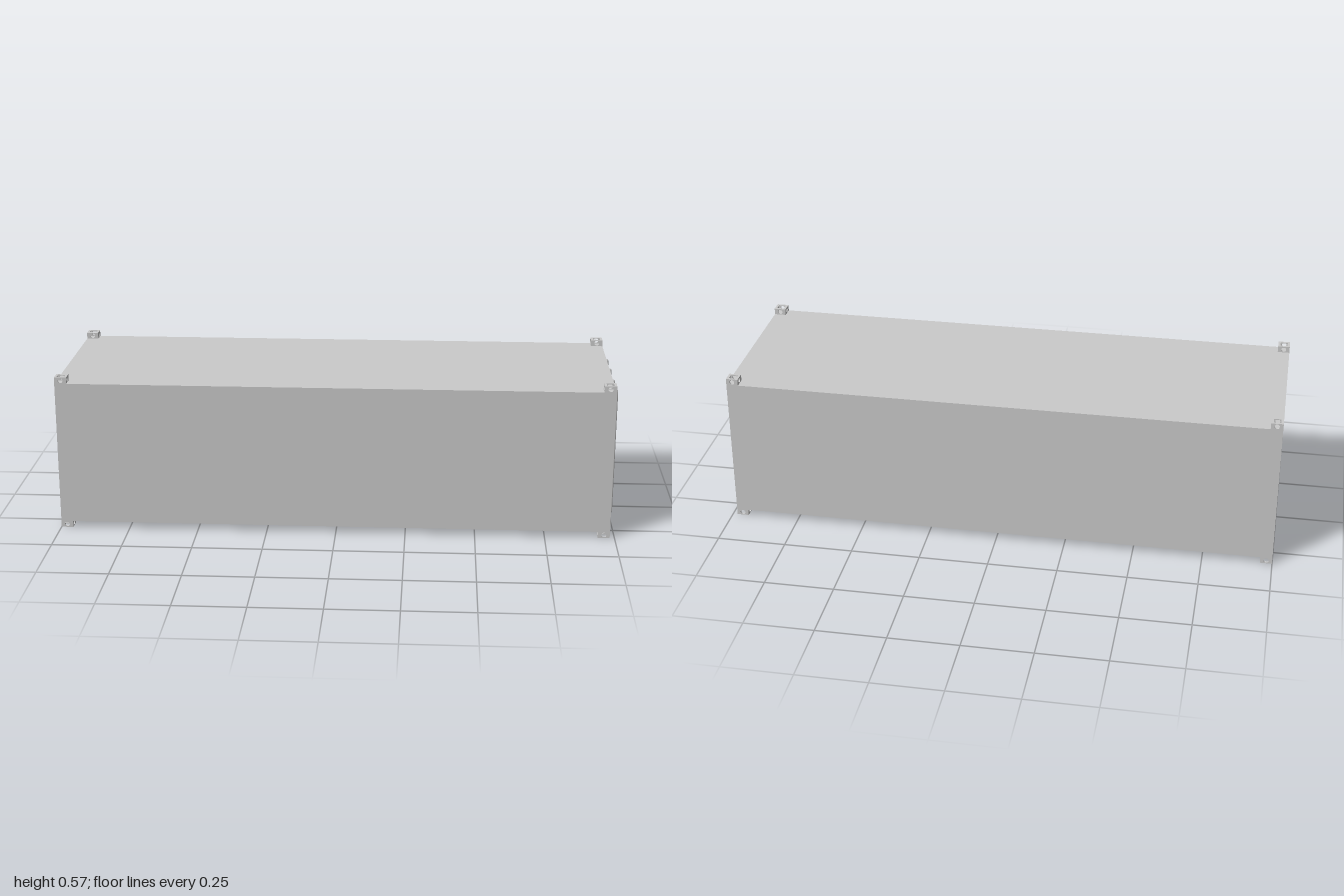
import * as THREE from 'three';

const mat = new THREE.MeshStandardMaterial({ color: 0xcccccc });
const X0 = -1, X1 = 0.983, Y0 = 0.023, Y1 = 0.544, HZ = 0.325; // outer shell
const PANEL_X = 0.975;                                        // recessed door face
const CAST = 0.043, CAST_H = 0.023;                           // corner fitting size

function mesh(name, geometry, parent) {
  const m = new THREE.Mesh(geometry, mat);
  m.name = name;
  parent.add(m);
  return m;
}

function rect(w, h, Type = THREE.Shape) {
  return new Type([[-w, -h], [w, -h], [w, h], [-w, h]].map(([x, y]) => new THREE.Vector2(x / 2, y / 2)));
}

function plate(shape, hole, depth) {
  shape.holes.push(hole);
  return new THREE.ExtrudeGeometry(shape, { depth, bevelEnabled: false, curveSegments: 16 });
}

// Hollow fitting: four walls with round eyes and a cap with a square opening
function cornerCasting(name) {
  const g = new THREE.Group();
  g.name = name;
  const t = 0.005;
  const eye = new THREE.Path().absarc(0, 0, 0.009, 0, Math.PI * 2, true);
  const wall = plate(rect(CAST, CAST_H), eye, t).translate(0, CAST_H / 2, CAST / 2 - t);
  for (let i = 0; i < 4; i++) mesh('castingWall', wall, g).rotation.y = i * Math.PI / 2;
  const cap = plate(rect(CAST, CAST), rect(0.026, 0.026, THREE.Path), 0.003);
  mesh('castingCap', cap.rotateX(-Math.PI / 2).translate(0, CAST_H - 0.003, 0), g);
  return g;
}

// Upright locking bar whose bent ends run into the door
function lockingBar(z) {
  const x = 0.9955, y0 = 0.0515, y1 = 0.516, b = 0.006;
  const v = (px, py) => new THREE.Vector3(px, py, z);
  const path = new THREE.CurvePath();
  path.add(new THREE.LineCurve3(v(PANEL_X - 0.003, y0), v(x - b, y0)));
  path.add(new THREE.QuadraticBezierCurve3(v(x - b, y0), v(x, y0), v(x, y0 + b)));
  path.add(new THREE.LineCurve3(v(x, y0 + b), v(x, y1 - b)));
  path.add(new THREE.QuadraticBezierCurve3(v(x, y1 - b), v(x, y1), v(x - b, y1)));
  path.add(new THREE.LineCurve3(v(x - b, y1), v(PANEL_X - 0.003, y1)));
  return new THREE.TubeGeometry(path, 200, 0.0045, 12);
}

export function createModel() {
  const root = new THREE.Group();
  root.name = 'shippingContainer';
  const h = Y1 - Y0, midY = (Y0 + Y1) / 2;

  // Closed box, ending at the recessed door face
  const body = mesh('containerBody', new THREE.BoxGeometry(PANEL_X - X0, h, HZ * 2), root);
  body.position.set((X0 + PANEL_X) / 2, midY, 0);

  // Raised frame round the doors
  const frame = plate(rect(HZ * 2, h), rect(0.606, 0.485, THREE.Path), X1 - PANEL_X);
  mesh('doorFrame', frame.rotateY(Math.PI / 2), root).position.set(PANEL_X, midY, 0);

  for (const z of [0.2, 0.079, -0.063, -0.192]) mesh('lockingBar', lockingBar(z), root);

  // Fittings above and below every corner
  for (const x of [X0 + CAST / 2, X1 - CAST / 2]) {
    for (const s of [-1, 1]) {
      const z = s * (HZ - CAST / 2);
      const top = cornerCasting('topCornerCasting');
      top.position.set(x, Y1, z);
      const bottom = cornerCasting('bottomCornerCasting');
      bottom.rotation.x = Math.PI;
      bottom.position.set(x, Y0, z);
      root.add(top, bottom);
    }
  }
  return root;
}
